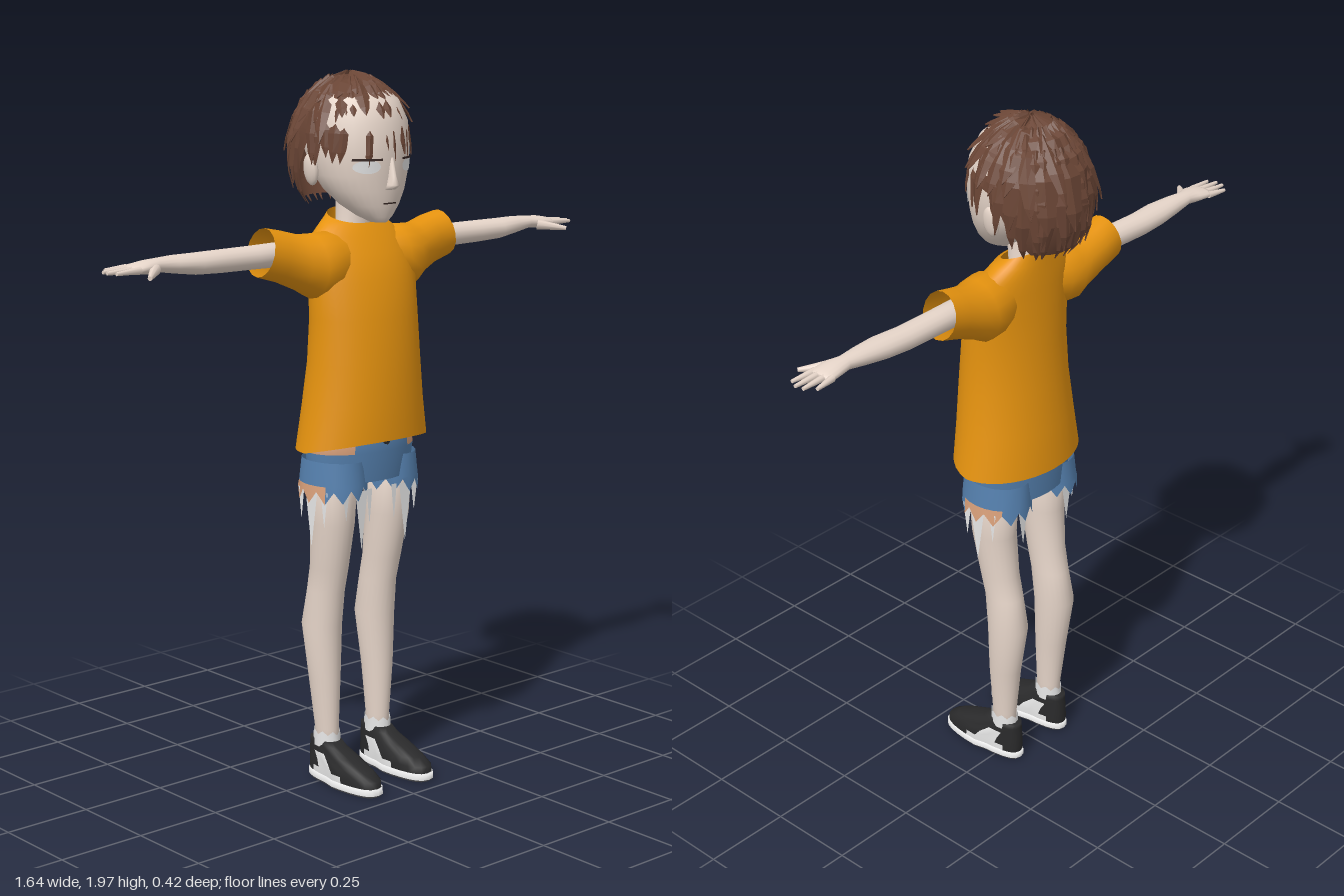
import * as THREE from 'three';

const mat = (name, color, side = THREE.FrontSide) => {
  const m = new THREE.MeshStandardMaterial({ color, side });
  m.name = name;
  return m;
};

// Skin over a list of rings, each a list of [x, y, z]; pick(i, j) chooses the material slot of a quad
function loft(rings, capA = false, capB = false, pick = () => 0) {
  const n = rings[0].length, pos = rings.flat(2), slots = [];
  const add = (s, ...t) => (slots[s] ??= []).push(...t);
  for (let i = 0; i < rings.length - 1; i++) for (let j = 0; j < n; j++) {
    const a = i * n + j, b = i * n + (j + 1) % n;
    add(pick(i, j), a, b, b + n, a, b + n, a + n);
  }
  const cap = (i, flip) => {
    const c = pos.length / 3;
    for (let k = 0; k < 3; k++) pos.push(rings[i].reduce((s, p) => s + p[k], 0) / n);
    for (let j = 0; j < n; j++) {
      const a = i * n + j, b = i * n + (j + 1) % n;
      add(0, c, flip ? b : a, flip ? a : b);
    }
  };
  if (capA) cap(0, true);
  if (capB) cap(rings.length - 1, false);
  const g = new THREE.BufferGeometry();
  g.setAttribute('position', new THREE.Float32BufferAttribute(pos, 3));
  g.setIndex(slots.flat());
  let start = 0;
  if (slots.length > 1) slots.forEach((s, k) => { g.addGroup(start, s.length, k); start += s.length; });
  g.computeVertexNormals();
  return g;
}

// Horizontal ring; angle 0 faces the front. dy(angle) bends the edge
const ringY = (y, cx, rx, zf, zb, n = 24, dy = () => 0) => Array.from({ length: n }, (_, j) => {
  const a = j / n * Math.PI * 2;
  return [cx + rx * Math.sin(a), y + dy(a, j), (zf + zb) / 2 + (zf - zb) / 2 * Math.cos(a)];
});
// Ring across the x axis, optionally slanted
const ringX = (x, cy, cz, ry, rz, slant = 0, n = 16) => Array.from({ length: n }, (_, j) => {
  const a = j / n * Math.PI * 2, y = ry * Math.cos(a);
  return [x - slant * y, cy + y, cz + rz * Math.sin(a)];
});

function mirror(geo) {
  const g = geo.clone().scale(-1, 1, 1), ix = g.index.array;
  for (let i = 0; i < ix.length; i += 3) [ix[i + 1], ix[i + 2]] = [ix[i + 2], ix[i + 1]];
  return g;
}

// Tapered round stick between two points
function stick(a, b, r0, r1) {
  const p = new THREE.Vector3(...a), q = new THREE.Vector3(...b), d = q.clone().sub(p);
  const g = new THREE.CylinderGeometry(r1, r0, d.length(), 8);
  g.applyQuaternion(new THREE.Quaternion().setFromUnitVectors(new THREE.Vector3(0, 1, 0), d.normalize()));
  return g.translate(...p.add(q).multiplyScalar(0.5).toArray());
}

// Head sections: y, half width, front z, back z
const HEAD = [[1.575, 0.02, 0.125, 0.07], [1.59, 0.045, 0.135, 0.03], [1.62, 0.08, 0.142, -0.02],
  [1.66, 0.11, 0.148, -0.07], [1.7, 0.128, 0.15, -0.1], [1.76, 0.14, 0.155, -0.13],
  [1.84, 0.138, 0.15, -0.14], [1.9, 0.115, 0.12, -0.115], [1.94, 0.06, 0.06, -0.06]];

// Depth of the face surface at x, y
function faceZ(x, y) {
  const i = Math.max(1, HEAD.findIndex(h => h[0] >= y)), A = HEAD[i - 1], B = HEAD[i];
  const t = (y - A[0]) / (B[0] - A[0]), [, rx, f, b] = A.map((v, k) => v + (B[k] - v) * t);
  return (f + b) / 2 + (f - b) / 2 * Math.sqrt(Math.max(0, 1 - (x / rx) ** 2));
}
function onFace(geo, x, y, lift) {
  geo.translate(x, y, 0);
  const p = geo.attributes.position;
  for (let i = 0; i < p.count; i++) p.setZ(i, faceZ(p.getX(i), p.getY(i)) + lift);
  geo.computeVertexNormals();
  return geo;
}

export function createModel() {
  const root = new THREE.Group();
  root.name = 'child';
  const skin = mat('skin', 0xe6d5c9), shirt = mat('shirt', 0xe6930f, THREE.DoubleSide);
  const hair = mat('hair', 0x6a4535, THREE.DoubleSide), denim = mat('denim', 0x5580ae, THREE.DoubleSide);
  const lining = mat('lining', 0xd9a07a, THREE.DoubleSide), white = mat('white', 0xeeeeee, THREE.DoubleSide);
  const black = mat('black', 0x2a2a2b), sole = mat('sole grey', 0x66666b), line = mat('face line', 0x3a2a26);

  const add = (name, geo, m) => {
    const o = new THREE.Mesh(geo, m);
    o.name = name;
    root.add(o);
  };
  const pair = (name, geo, m) => {
    add(name + 'Left', geo, m);
    add(name + 'Right', mirror(geo), m);
  };

  // Head, neck and face
  add('head', loft(HEAD.map(([y, rx, f, b]) => ringY(y, 0, rx, f, b, 32)), true, true), skin);
  add('neck', loft([[1.5, 0.07, 0.05, -0.05], [1.56, 0.05, 0.04, -0.05], [1.66, 0.048, 0.05, -0.05]]
    .map(([y, r, f, b]) => ringY(y, 0, r, f, b))), skin);
  add('nose', loft([[1.665, 0.018, 0.158, 0.13], [1.678, 0.015, 0.181, 0.13], [1.7, 0.01, 0.168, 0.13],
    [1.75, 0.007, 0.156, 0.13]].map(([y, r, f, b]) => ringY(y, 0, r, f, b, 12)), true, true), skin);
  add('mouth', onFace(new THREE.PlaneGeometry(0.045, 0.004, 6, 1), 0, 1.628, 0.004), line);
  pair('eye', onFace(new THREE.RingGeometry(0.001, 1, 20, 4).scale(0.032, 0.018, 1), 0.07, 1.727, 0.004), white);
  pair('lash', onFace(new THREE.PlaneGeometry(0.07, 0.006, 8, 1), 0.07, 1.746, 0.006), line);
  pair('ear', new THREE.SphereGeometry(1, 12, 10).scale(0.014, 0.043, 0.026).rotateZ(-0.12)
    .translate(0.142, 1.715, -0.012), skin);

  // Hair: a cap around the skull with faceted locks running out from the crown
  const hairAt = (a, phi, k) => {
    const r = (phi < Math.PI / 2 ? Math.sin(phi) : 1 - 0.3 * (phi - Math.PI / 2) ** 2) * k;
    return [0.152 * r * Math.sin(a), 1.775 + 0.19 * Math.cos(phi) * (phi < 1.5 ? k : 1), -0.02 + 0.172 * r * Math.cos(a)];
  };
  // Reach of the hair from the crown: short at the brow and ears, long at the nape
  const reach = a => {
    const c = Math.cos(a);
    return c > 0 ? 1.55 - 0.22 * c : 1.55 + 0.95 * Math.min(1, -c * 1.6);
  };
  add('hairCap', loft(Array.from({ length: 9 }, (_, i) => Array.from({ length: 28 }, (_, j) => {
    const a = -j / 28 * Math.PI * 2;
    return hairAt(a, 0.02 + (reach(a) - 0.08) * i / 8, 0.98);
  })), true).toNonIndexed(), hair);
  let seed = 7;
  const rnd = () => (seed = (seed * 16807) % 2147483647) / 2147483647;
  const lock = (a, from, to, w, lift, twist) => {
    const g = loft([0, 0.3, 0.6, 0.85, 1].map((t, i) => {
      const phi = from + (to - from) * t, k = 1 + lift * t * t, b = a + twist * t;
      const h = w * [0.8, 1, 0.85, 0.45, 0.02][i];
      return [hairAt(b + h, phi, k * 0.98), hairAt(b, phi, k + 0.035 * (1 - t)), hairAt(b - h, phi, k * 0.98)];
    })).toNonIndexed();
    g.computeVertexNormals();
    return g;
  };
  for (const [count, from, extra, w, lift] of [[30, 0.75, 0.2, 0.15, 0.05], [24, 0.35, -0.2, 0.2, 0.11], [16, 0.05, -0.62, 0.32, 0.1]])
    for (let i = 0; i < count; i++) {
      const a = (i + rnd() * 0.7) / count * Math.PI * 2;
      const fringe = Math.cos(a) > 0.15 && extra > 0 ? 0.28 * rnd() : 0;
      const to = Math.min(2.6, reach(a) + extra + fringe + (rnd() - 0.5) * 0.16);
      add('hairLock', lock(a, from, to, w, lift * (0.3 + rnd()), (rnd() - 0.5) * 0.3), hair);
    }
  // Stray spikes
  for (const [a, to, lift] of [[1.3, 1.4, 0.2], [-1.35, 1.5, 0.22], [2.6, 1.5, 0.16], [-2.7, 1.7, 0.14], [-2, 1.6, 0.18], [2.1, 1.7, 0.17]])
    add('hairSpike', lock(a, 0.5, to, 0.16, lift, 0.15), hair);

  // Shirt, open at hem, collar and cuffs
  const torso = [[0.958, 0.205, 0.172, -0.11], [1.08, 0.186, 0.172, -0.1], [1.2, 0.173, 0.167, -0.085],
    [1.32, 0.168, 0.155, -0.075], [1.42, 0.172, 0.135, -0.07], [1.49, 0.17, 0.105, -0.067],
    [1.535, 0.15, 0.075, -0.065], [1.568, 0.11, 0.055, -0.062], [1.585, 0.08, 0.05, -0.06]];
  add('shirtBody', loft(torso.map(([y, rx, f, b], i) => ringY(y, 0, rx, f, b, 36, a =>
    i === 0 ? 0.032 * Math.max(0, Math.cos(a)) : i === 8 ? -0.018 * Math.cos(a) : 0))), shirt);
  pair('sleeve', loft([[0.05, 1.47, 0.02, 0.06, 0.06], [0.12, 1.465, 0.02, 0.088, 0.085], [0.17, 1.462, 0.015, 0.088, 0.083],
    [0.21, 1.474, 0.008, 0.076, 0.07], [0.27, 1.496, 0, 0.068, 0.062, 0.12], [0.325, 1.51, 0, 0.064, 0.058, 0.22]]
    .map(r => ringX(...r))), shirt);

  // Arms and hands
  pair('arm', loft([[0.2, 1.5, 0, 0.035, 0.038], [0.35, 1.5, -0.003, 0.032, 0.037], [0.46, 1.5, -0.005, 0.031, 0.038],
    [0.54, 1.502, 0, 0.029, 0.04], [0.61, 1.507, -0.002, 0.024, 0.032], [0.665, 1.51, -0.003, 0.018, 0.024],
    [0.7, 1.508, 0, 0.018, 0.035], [0.735, 1.506, -0.003, 0.014, 0.038], [0.75, 1.505, -0.004, 0.009, 0.034]]
    .map(r => ringX(...r)), true, true), skin);
  [[-0.034, -0.044, 0.795], [-0.014, -0.018, 0.818], [0.007, 0.006, 0.822], [0.026, 0.03, 0.81]].forEach(([z0, z1, x]) =>
    pair('finger', stick([0.735, 1.506, z0], [x, 1.504, z1], 0.01, 0.005), skin));
  pair('thumb', stick([0.685, 1.503, 0.022], [0.745, 1.492, 0.08], 0.015, 0.006), skin);

  // Legs
  pair('leg', loft([[0.07, 0.095, 0.03, 0.03, -0.045], [0.15, 0.095, 0.03, 0.03, -0.045], [0.3, 0.098, 0.042, 0.035, -0.062],
    [0.45, 0.098, 0.053, 0.036, -0.085], [0.55, 0.096, 0.047, 0.05, -0.068], [0.62, 0.097, 0.05, 0.065, -0.052],
    [0.75, 0.1, 0.058, 0.09, -0.042], [0.9, 0.1, 0.066, 0.1, -0.05]].map(r => ringY(...r)), true, true), skin);

  // Torn shorts with lining showing through
  add('shortsHip', loft([[0.87, 0.16, 0.125, -0.085], [0.952, 0.172, 0.132, -0.088], [0.985, 0.168, 0.13, -0.088],
    [1.005, 0.16, 0.125, -0.085]].map(([y, r, f, b]) => ringY(y, 0, r, f, b, 32)), false, true,
  (i, j) => i === 1 && ((j > 2 && j < 8) || (j > 23 && j < 29)) ? 1 : 0), [denim, lining]);
  pair('shortsLeg', loft([[0.835, 0.094, 0.086, 0.125, -0.088], [0.865, 0.092, 0.085, 0.125, -0.086], [0.93, 0.09, 0.08, 0.12, -0.08]]
    .map(([y, cx, r, f, b], i) => ringY(y, cx, r, f, b, 24, (a, j) => i ? 0 : (j % 2 ? 0.022 : -0.012) - 0.008 * Math.sin(a))),
  false, false, (i, j) => i === 0 && j > 3 && j < 9 ? 1 : 0), [denim, lining]);
  add('button', new THREE.CylinderGeometry(0.009, 0.009, 0.008, 10).rotateX(Math.PI / 2).translate(0, 0.98, 0.134), black);
  // Loose threads: x, z, half width in x, half width in z, tip height
  [[0.08, 0.122, 0.022, 0, 0.685], [0.045, 0.115, 0.01, 0, 0.75], [0.125, 0.11, 0.012, 0, 0.77], [0.172, 0.02, 0, 0.025, 0.69],
    [0.165, 0.065, 0, 0.015, 0.75], [0.165, -0.03, 0, 0.012, 0.76], [0.09, -0.075, 0.018, 0, 0.74]].forEach(([x, z, wx, wz, tip]) => {
    const g = new THREE.BufferGeometry();
    g.setAttribute('position', new THREE.Float32BufferAttribute([x - wx, 0.85, z + wz, x, tip, z, x + wx, 0.85, z - wz], 3));
    g.setIndex([0, 1, 2]);
    g.computeVertexNormals();
    pair('thread', g, white);
  });

  // Shoes: grey outsole, white midsole, black upper with white side panels, sock
  const foot = (y, r, f, b) => ringY(y, 0.095, r, f, b, 24).map(([x, yy, z]) => {
    const u = (x - 0.095) / r, s = Math.sign(u) * Math.abs(u) ** 0.7;
    return [0.095 + s * r * (z < 0.05 ? 0.85 : 1), yy, z];
  });
  pair('outsole', loft([foot(0, 0.047, 0.205, -0.066), foot(0.006, 0.05, 0.21, -0.07)], true), sole);
  pair('midsole', loft([foot(0.006, 0.051, 0.211, -0.071), foot(0.024, 0.05, 0.21, -0.07)], false, true), white);
  pair('shoe', loft([foot(0.02, 0.048, 0.206, -0.067), foot(0.042, 0.049, 0.203, -0.068), foot(0.062, 0.046, 0.17, -0.067),
    foot(0.085, 0.043, 0.11, -0.066), foot(0.105, 0.038, 0.06, -0.064), foot(0.118, 0.036, 0.045, -0.064)], false, true,
  (i, j) => i < 3 && [6, 7, 16, 17].includes(j) || (i === 0 && [5, 8, 15, 18].includes(j)) ? 1 : 0), [black, white]);
  pair('sock', loft([[0.1, 0.034], [0.135, 0.033]].map(([y, r], i) =>
    ringY(y, 0.095, r, 0.036, -0.05, 16, (a, j) => i ? (j % 2) * 0.012 : 0))), white);
  return root;
}
